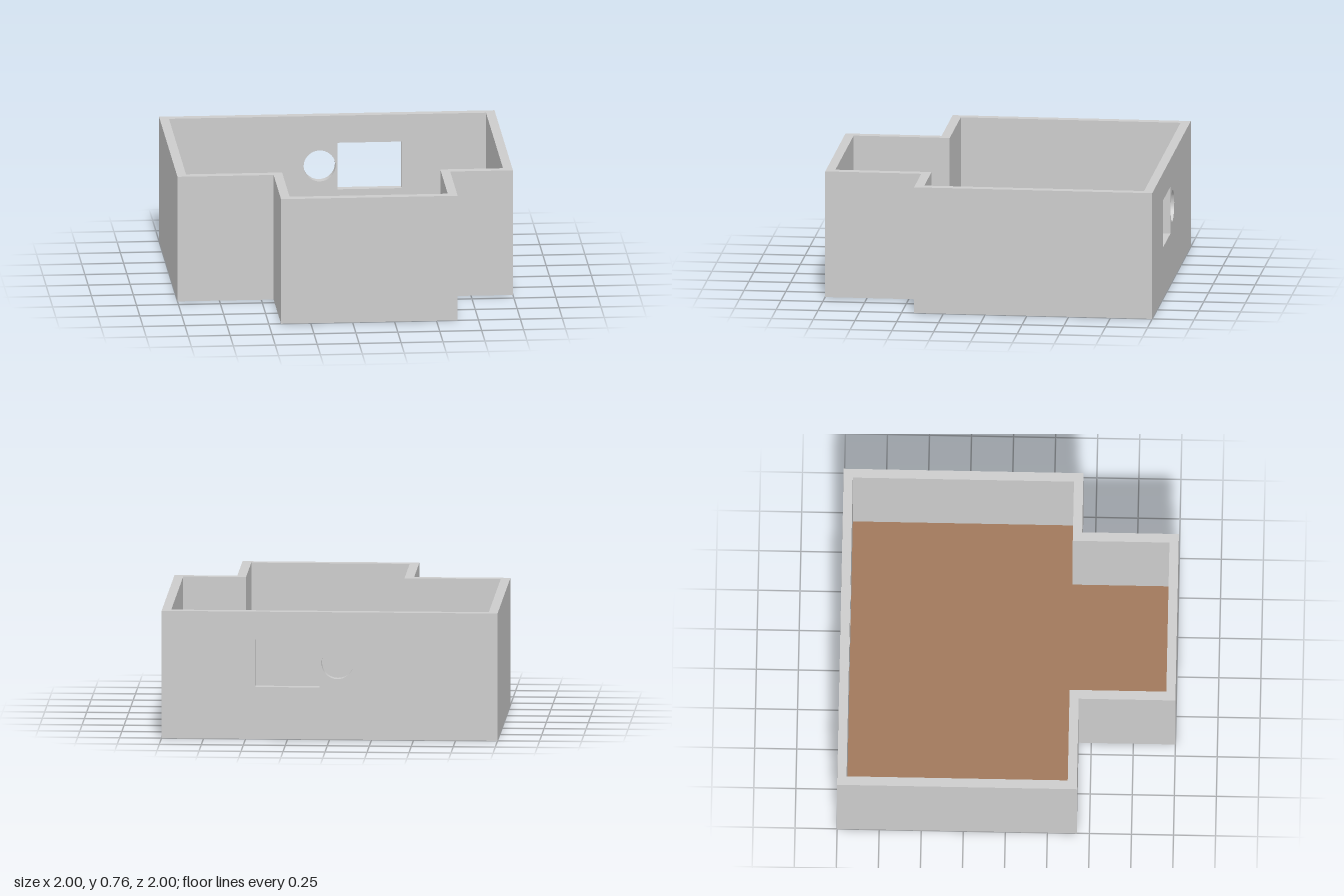
import * as THREE from 'three';

const H = 0.765;               // wall height
const T = 0.055;               // wall thickness
const NL = -0.427, NR = 0.626; // sides of the front bay
const NZ = 0.425;              // front of the main room

// Extrude a plan outline of [x, z] points upwards
function extrudePlan(points, height) {
  const shape = new THREE.Shape(points.map(([x, z]) => new THREE.Vector2(x, -z)));
  return new THREE.ExtrudeGeometry(shape, { depth: height, bevelEnabled: false }).rotateX(-Math.PI / 2);
}

// T-shaped plan, inset by d, starting at the given back z
function plan(d, back) {
  return [
    [-1 + d, back], [-1 + d, NZ - d], [NL + d, NZ - d], [NL + d, 1 - d],
    [NR - d, 1 - d], [NR - d, NZ - d], [1 - d, NZ - d], [1 - d, back],
  ];
}

export function createModel() {
  const group = new THREE.Group();
  group.name = 'room';

  const wallGrey = new THREE.MeshStandardMaterial({ color: 0xcccccc });
  wallGrey.name = 'wallGrey';
  const floorBrown = new THREE.MeshStandardMaterial({ color: 0xa0785a });
  floorBrown.name = 'floorBrown';

  const add = (name, geometry, material) => {
    const mesh = new THREE.Mesh(geometry, material);
    mesh.name = name;
    group.add(mesh);
    return mesh;
  };

  // Side and front walls: one band following the plan
  const back = -1 + T;
  const band = [...plan(0, back), ...plan(T, back).reverse()];
  add('sideAndFrontWalls', extrudePlan(band, H), wallGrey);

  // Back wall with a rectangular and a round window opening
  const wall = new THREE.Shape([[-1, 0], [1, 0], [1, H], [-1, H]].map(p => new THREE.Vector2(...p)));
  const rect = [[0.06, 0.312], [0.06, 0.598], [0.442, 0.598], [0.442, 0.312]];
  wall.holes.push(new THREE.Path(rect.map(p => new THREE.Vector2(...p))));
  wall.holes.push(new THREE.Path().absarc(-0.047, 0.458, 0.095, 0, Math.PI * 2, true));
  const backWall = add('backWall',
    new THREE.ExtrudeGeometry(wall, { depth: T, bevelEnabled: false, curveSegments: 24 }), wallGrey);
  backWall.position.z = -1;

  // Thin floor filling the inside of the walls
  add('floor', extrudePlan(plan(T, back), 0.004), floorBrown);

  return group;
}
